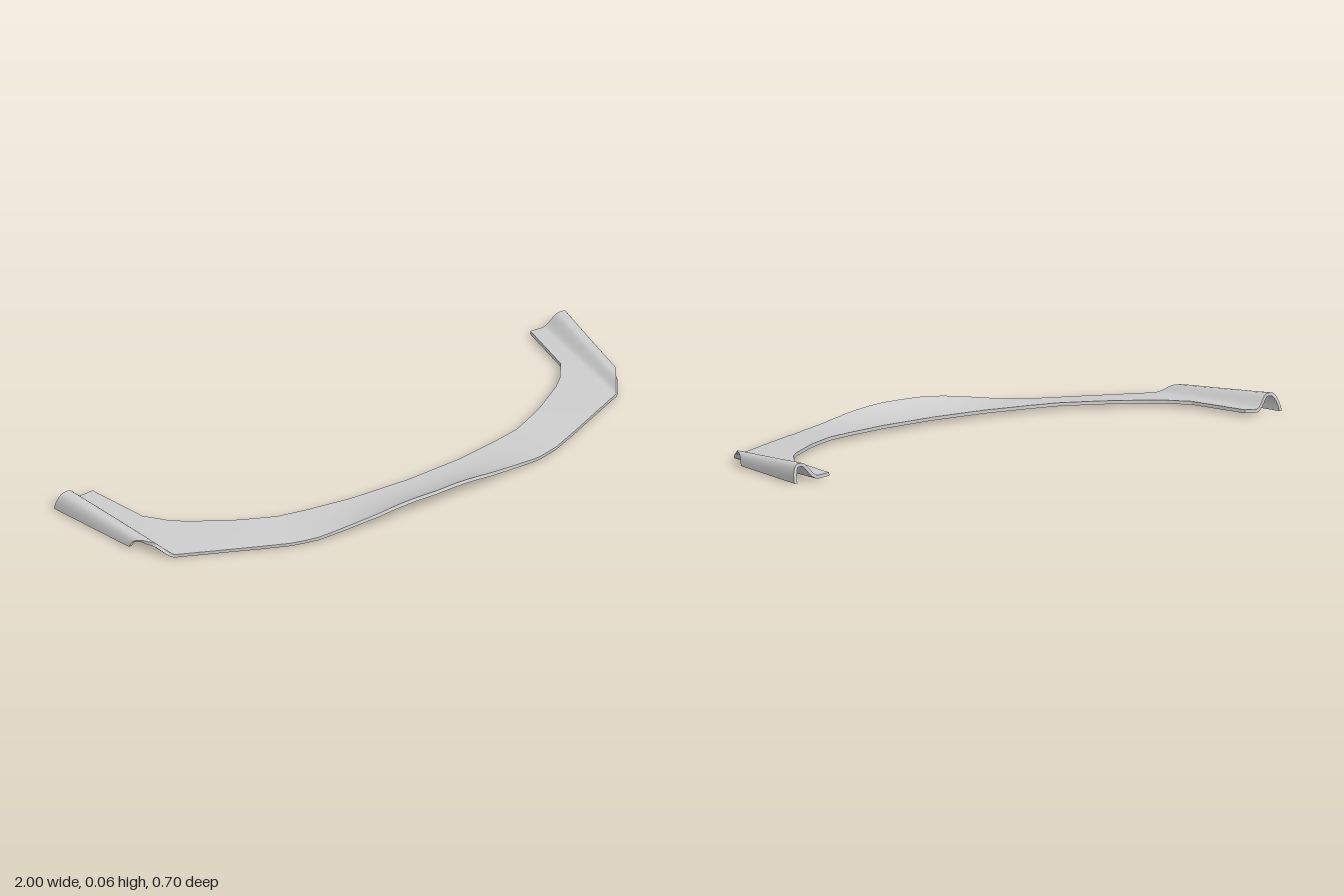
import * as THREE from 'three';
import { mergeGeometries } from 'three/addons/utils/BufferGeometryUtils.js';

const { lerp, clamp, smoothstep } = THREE.MathUtils;
const ACROSS = 24, STEPS = 8, THICKNESS = 0.011;

// Plan stations of one half, back end to centre: outer x, z then inner x, z
const HALF = [
  [1.0, -0.345, 0.853, -0.345],
  [0.964, -0.125, 0.815, -0.12],
  [0.945, -0.01, 0.79, -0.088],
  [0.912, 0.047, 0.765, -0.053],
  [0.86, 0.12, 0.72, -0.013],
  [0.73, 0.18, 0.6, 0.065],
  [0.6, 0.24, 0.53, 0.1],
  [0.52, 0.275, 0.465, 0.13],
  [0.43, 0.303, 0.37, 0.15],
  [0.22, 0.333, 0.21, 0.175],
  [0, 0.343, 0, 0.185],
];

// Height of the top surface; t runs from the outer edge (0) to the inner edge (1)
function height(x, z, t) {
  x = Math.abs(x);
  const middle = 1 - smoothstep(x, 0.05, 0.52);
  let y = lerp(lerp(0.016, 0.027, t), 0.028, middle);
  // upturned front lip
  y += 0.035 * middle * Math.pow(1 - t, 2.3);
  // rounded ridge along each arm, following the arm's outer line
  const q = (0.943 - 0.164 * z - x) / lerp(0.1, 0.065, (z + 0.345) / 0.465);
  if (q < 1 && z < 0.13) {
    const k = 1 - clamp(q / 0.3, 0, 1);
    const rise = Math.sqrt(1 - k * k);
    const r = rise * (1 - smoothstep(q, 0.45, 1)) - 0.15 * (1 - rise);
    const top = lerp(0.067, 0.044, (z + 0.335) / 0.425);
    y += (top - y) * r;
  }
  return y;
}

// Grid of the top surface
function topSurface(stations) {
  const rows = (stations.length - 1) * STEPS;
  const pos = [], index = [];
  for (let u = 0; u <= rows; u++) {
    const i = Math.min(Math.floor(u / STEPS), stations.length - 2);
    const f = u / STEPS - i;
    const [ox, oz, ix, iz] = stations[i].map((v, k) => lerp(v, stations[i + 1][k], f));
    for (let v = 0; v <= ACROSS; v++) {
      const t = Math.pow(v / ACROSS, 1.5);
      const x = lerp(ox, ix, t), z = lerp(oz, iz, t);
      const y = height(x, z, t);
      // raked arm ends
      const rake = 0.29 * (y - 0.012) * clamp((-z - 0.125) / 0.22, 0, 1);
      pos.push(x, y, z + rake);
      if (u < rows && v < ACROSS) {
        const a = u * (ACROSS + 1) + v, c = a + ACROSS + 1;
        index.push(a, a + 1, c, a + 1, c + 1, c);
      }
    }
  }
  const g = new THREE.BufferGeometry();
  g.setAttribute('position', new THREE.Float32BufferAttribute(pos, 3));
  g.setIndex(index);
  g.computeVertexNormals();
  return { g, rows };
}

// Underside: the top pushed in along its normals, faces reversed
function underside(top) {
  const g = top.clone();
  const p = g.attributes.position, n = top.attributes.normal;
  for (let i = 0; i < p.count; i++) {
    p.setXYZ(i, p.getX(i) - n.getX(i) * THICKNESS, p.getY(i) - n.getY(i) * THICKNESS,
      p.getZ(i) - n.getZ(i) * THICKNESS);
  }
  g.setIndex(Array.from(top.index.array).reverse());
  g.computeVertexNormals();
  return g;
}

// Rim joining both surfaces around the border
function rim(top, bottom, rows) {
  const loop = [], w = ACROSS + 1;
  for (let u = 0; u < rows; u++) loop.push(u * w);
  for (let v = 0; v < ACROSS; v++) loop.push(rows * w + v);
  for (let u = rows; u > 0; u--) loop.push(u * w + ACROSS);
  for (let v = ACROSS; v > 0; v--) loop.push(v);
  const pos = [];
  const add = (g, i) => {
    const p = g.attributes.position;
    pos.push(p.getX(i), p.getY(i), p.getZ(i));
  };
  loop.forEach((a, k) => {
    const b = loop[(k + 1) % loop.length];
    add(top, a); add(top, b); add(bottom, a);
    add(top, b); add(bottom, b); add(bottom, a);
  });
  const g = new THREE.BufferGeometry();
  g.setAttribute('position', new THREE.Float32BufferAttribute(pos, 3));
  g.computeVertexNormals();
  return g;
}

export function createModel() {
  const mirrored = HALF.slice(0, -1).reverse().map(([ox, oz, ix, iz]) => [-ox, oz, -ix, iz]);
  const { g: top, rows } = topSurface([...HALF, ...mirrored]);
  const bottom = underside(top);
  const geometry = mergeGeometries([top.toNonIndexed(), bottom.toNonIndexed(), rim(top, bottom, rows)]);

  // rest on the ground, centred front to back
  geometry.computeBoundingBox();
  const { min, max } = geometry.boundingBox;
  geometry.translate(0, -min.y, -(min.z + max.z) / 2);

  const lip = new THREE.Mesh(geometry, new THREE.MeshStandardMaterial({ color: 0xcccccc }));
  lip.name = 'frontLip';
  const group = new THREE.Group();
  group.name = 'bumperLip';
  group.add(lip);
  return group;
}
